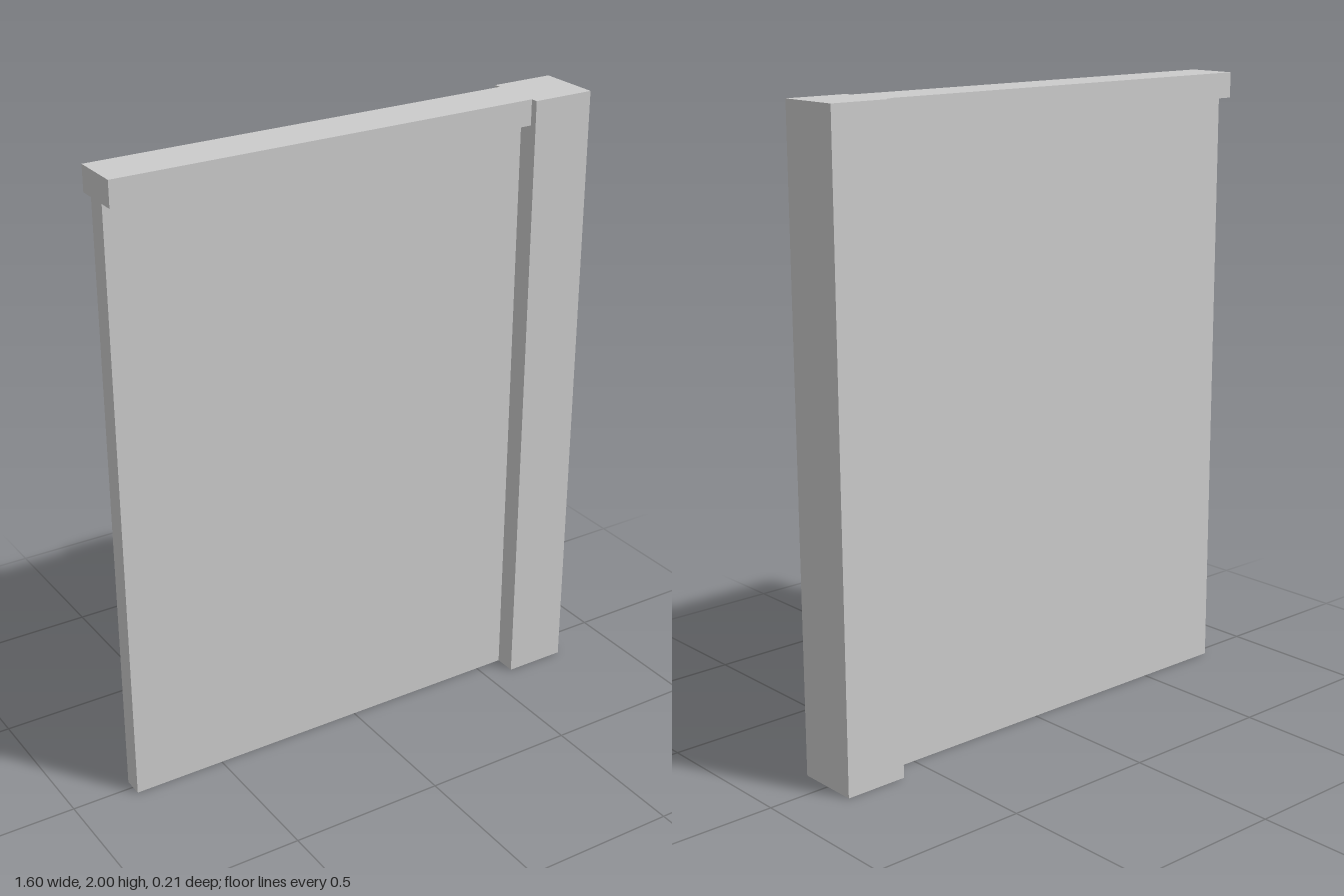
import * as THREE from 'three';

const material = new THREE.MeshStandardMaterial({ color: 0xcccccc, flatShading: true });

// Box given by its lower and upper limits on each axis
function block(name, [x0, x1], [y0, y1], depth) {
  const geometry = new THREE.BoxGeometry(x1 - x0, y1 - y0, depth);
  geometry.translate((x0 + x1) / 2, (y0 + y1) / 2, 0);
  const mesh = new THREE.Mesh(geometry, material);
  mesh.name = name;
  return mesh;
}

export function createModel() {
  const group = new THREE.Group();
  group.name = 'wallSection';

  const left = -0.798, right = 0.798, postInner = 0.594, capBottom = 1.92;

  // Square end post, full height
  group.add(block('endPost', [postInner, right], [0, 2], 0.206));

  // Rail capping the wall, flush with the post top
  group.add(block('topRail', [left, postInner], [capBottom, 2], 0.16));

  // Thin wall panel, a hollow shell open underneath
  const panel = block('wallPanel', [left, postInner], [0, capBottom], 0.065);
  const index = Array.from(panel.geometry.index.array);
  index.splice(18, 6); // drop the bottom face
  panel.geometry.setIndex(index);
  panel.geometry.clearGroups();
  panel.material = material.clone();
  panel.material.side = THREE.DoubleSide;
  group.add(panel);

  return group;
}
